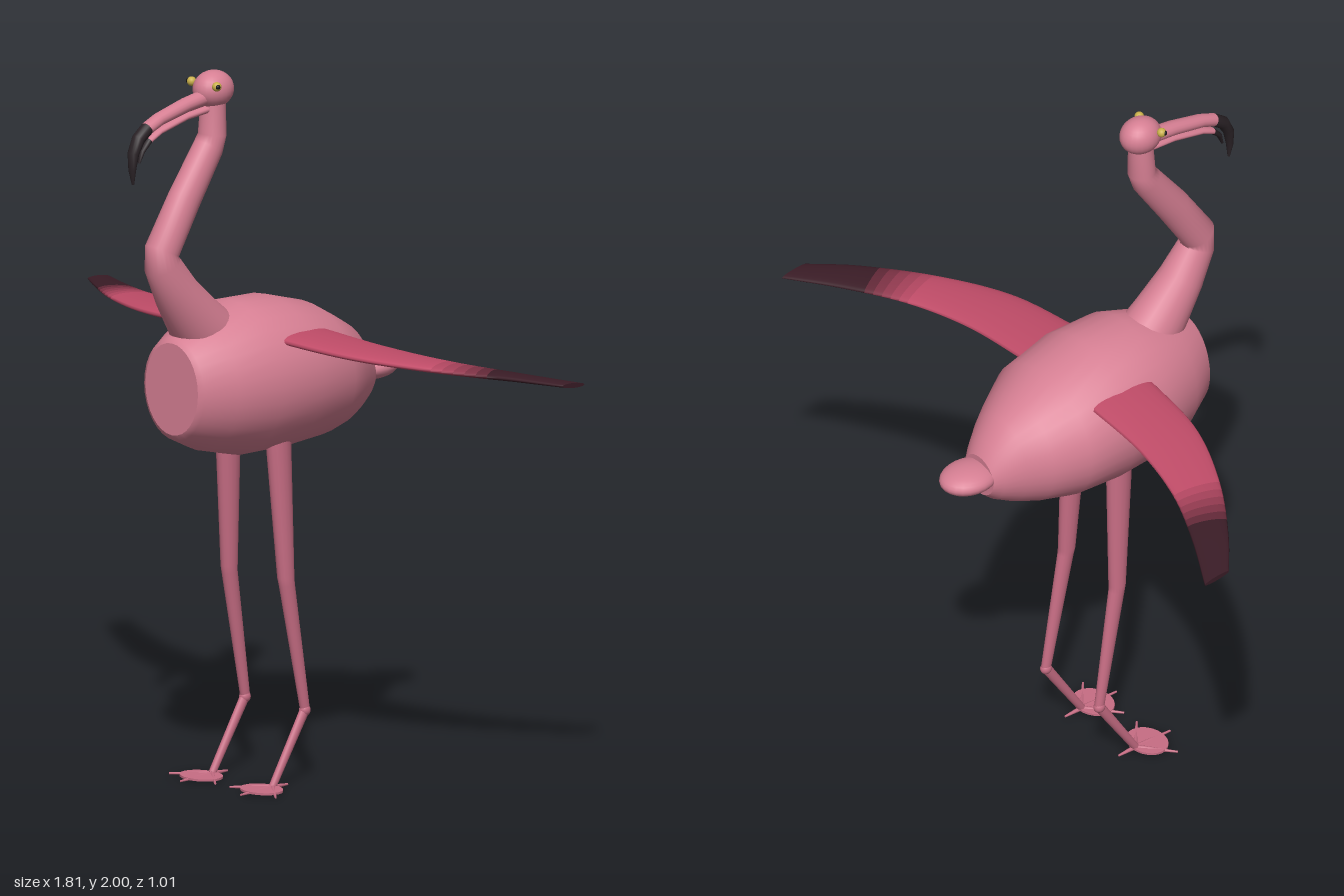
import * as THREE from 'three';

const PINK = 0xd67f93, LEG = 0xc76d84, WING = 0xc04c68, DARK = 0x3a1c26, BLACK = 0x2a2226;
const V = (x, y, z) => new THREE.Vector3(x, y, z);

function mesh(name, geometry, color) {
  const m = new THREE.Mesh(geometry, new THREE.MeshStandardMaterial({ color }));
  m.name = name;
  return m;
}

// Skin a list of equal-length rings, closing both ends with flat caps
function loft(rings) {
  const n = rings[0].length, pos = [], idx = [];
  const push = p => pos.push(p.x, p.y, p.z);
  rings.forEach(r => r.forEach(push));
  for (let i = 0; i < rings.length - 1; i++) {
    for (let j = 0; j < n; j++) {
      const k = (j + 1) % n, a = i * n + j, b = i * n + k;
      idx.push(a, b, a + n, b, b + n, a + n);
    }
  }
  [rings[0], rings.at(-1)].forEach((ring, end) => {
    const base = pos.length / 3;
    ring.forEach(push);
    push(ring.reduce((s, p) => s.add(p), V(0, 0, 0)).divideScalar(n));
    for (let j = 0; j < n; j++) {
      const a = base + j, b = base + (j + 1) % n;
      idx.push(base + n, end ? a : b, end ? b : a);
    }
  });
  const g = new THREE.BufferGeometry();
  g.setAttribute('position', new THREE.Float32BufferAttribute(pos, 3));
  g.setIndex(idx);
  g.computeVertexNormals();
  return g;
}

function ellipse(c, u, v, n) {
  return Array.from({ length: n }, (_, j) => {
    const a = j / n * Math.PI * 2;
    return c.clone().addScaledVector(u, Math.cos(a)).addScaledVector(v, Math.sin(a));
  });
}

// Rings along a path; each point is [x, y, z, half width, half depth]
function pathRings(pts, n = 24, fixedT = null) {
  const c = pts.map(p => V(p[0], p[1], p[2]));
  return pts.map((p, i) => {
    const a = c[Math.max(i - 1, 0)], b = c[Math.min(i + 1, c.length - 1)];
    const t = fixedT ?? b.clone().sub(a).setX(0).normalize();
    return ellipse(c[i], V(p[3], 0, 0), V(0, t.z, -t.y).multiplyScalar(p[4]), n);
  });
}

function ball(name, color, p, rx, ry, rz) {
  const m = mesh(name, new THREE.SphereGeometry(1, 24, 16), color);
  m.position.set(...p);
  m.scale.set(rx, ry, rz);
  return m;
}

function wing(side) {
  const g = new THREE.Group();
  g.name = side > 0 ? 'leftWing' : 'rightWing';
  const lead = new THREE.CatmullRomCurve3([V(0.12, 0, 0.09), V(0.39, 0, 0.055), V(0.61, 0, -0.04), V(0.8, 0, -0.165), V(0.905, 0, -0.25)]);
  const trail = new THREE.CatmullRomCurve3([V(0.12, 0, -0.115), V(0.37, 0, -0.125), V(0.57, 0, -0.17), V(0.75, 0, -0.25), V(0.905, 0, -0.335)]);
  const N = 30, rings = [];
  for (let i = 0; i <= N; i++) {
    const s = i / N, a = lead.getPoint(s), b = trail.getPoint(s);
    const c = a.clone().add(b).multiplyScalar(0.5);
    c.y = 1.255 - 0.06 * s;
    c.x *= side;
    const half = V((a.x - b.x) / 2 * side, 0.004, (a.z - b.z) / 2);
    rings.push(ellipse(c, V(0, 0.02 - 0.013 * s, 0), half.multiplyScalar(side), 20));
  }
  // Feather colour darkens in bands towards the tip
  const cuts = [0, 15, 16, 17, 18, 19, 20, N];
  for (let k = 0; k < cuts.length - 1; k++) {
    const color = new THREE.Color(WING).lerp(new THREE.Color(DARK), k / (cuts.length - 2));
    g.add(mesh('wingBand', loft(rings.slice(cuts[k], cuts[k + 1] + 1)), color));
  }
  return g;
}

function leg(side) {
  const g = new THREE.Group(), x = 0.115 * side;
  g.name = side > 0 ? 'leftLeg' : 'rightLeg';
  g.add(mesh('shank', loft(pathRings([
    [0.095 * side, 1.0, 0.027, 0.031, 0.042], [0.097 * side, 0.93, 0.025, 0.03, 0.038],
    [0.108 * side, 0.58, 0.01, 0.021, 0.026], [0.109 * side, 0.56, 0.007, 0.02, 0.024],
    [0.114 * side, 0.2, -0.058, 0.012, 0.015],
  ], 16)), LEG));
  g.add(mesh('lowerLeg', loft(pathRings([
    [0.114 * side, 0.205, -0.06, 0.012, 0.015], [x, 0.008, 0.068, 0.01, 0.011],
  ], 16)), LEG));
  g.add(ball('ankle', LEG, [0.114 * side, 0.2, -0.057], 0.015, 0.017, 0.017));

  // Webbed foot with three front toes and one hind toe
  const web = mesh('web', new THREE.CylinderGeometry(1, 1, 0.006, 24), LEG);
  web.scale.set(0.065, 1, 0.052);
  web.position.set(x, 0.007, 0.11);
  g.add(web);
  [[-0.088, 0.145], [0, 0.19], [0.088, 0.145], [0, 0.01]].forEach(([dx, z]) => {
    const a = V(x, 0.007, 0.068), d = V(x + dx, 0.005, z).sub(a);
    const toe = mesh('toe', new THREE.CylinderGeometry(0.003, 0.007, d.length(), 8), LEG);
    toe.position.copy(a).addScaledVector(d, 0.5);
    toe.quaternion.setFromUnitVectors(V(0, 1, 0), d.clone().normalize());
    g.add(toe);
  });
  return g;
}

export function createModel() {
  const model = new THREE.Group();

  // Body: [z, centre y, half width, half height], front to back
  const body = [
    [0.34, 1.14, 0.1, 0.128], [0.33, 1.138, 0.115, 0.142], [0.245, 1.135, 0.165, 0.18],
    [0.12, 1.138, 0.208, 0.215], [-0.02, 1.134, 0.222, 0.212], [-0.16, 1.118, 0.208, 0.188],
    [-0.25, 1.1, 0.158, 0.157], [-0.31, 1.092, 0.118, 0.13], [-0.36, 1.078, 0.083, 0.09], [-0.385, 1.07, 0.062, 0.06],
  ].map(([z, y, w, h]) => [0, y, z, w, h]);
  model.add(mesh('body', loft(pathRings(body, 32, V(0, 0, -1))), PINK));
  model.add(ball('tail', PINK, [0, 1.08, -0.42], 0.07, 0.036, 0.088));

  // Curved neck and head
  model.add(mesh('neck', loft(pathRings([
    [0, 1.24, 0.17, 0.085, 0.09], [0, 1.315, 0.25, 0.075, 0.082], [0, 1.405, 0.322, 0.062, 0.064],
    [0, 1.49, 0.375, 0.049, 0.053], [0, 1.53, 0.378, 0.046, 0.051], [0, 1.66, 0.293, 0.043, 0.049],
    [0, 1.79, 0.2, 0.041, 0.043], [0, 1.825, 0.184, 0.04, 0.038], [0, 1.94, 0.18, 0.034, 0.033],
  ])), PINK));
  model.add(ball('head', PINK, [0, 1.95, 0.18], 0.052, 0.052, 0.061));

  // Hooked bill, dark towards the tip
  const upper = pathRings([
    [0, 1.932, 0.21, 0.024, 0.022], [0, 1.922, 0.29, 0.023, 0.02], [0, 1.9, 0.39, 0.021, 0.018],
    [0, 1.882, 0.435, 0.02, 0.018], [0, 1.858, 0.468, 0.019, 0.018], [0, 1.82, 0.488, 0.017, 0.015],
    [0, 1.775, 0.492, 0.012, 0.009], [0, 1.735, 0.489, 0.004, 0.003],
  ], 16);
  const lower = pathRings([
    [0, 1.898, 0.21, 0.018, 0.011], [0, 1.891, 0.29, 0.017, 0.01], [0, 1.867, 0.39, 0.015, 0.009],
    [0, 1.848, 0.43, 0.014, 0.009], [0, 1.822, 0.455, 0.011, 0.007], [0, 1.79, 0.466, 0.004, 0.003],
  ], 16);
  model.add(mesh('upperBill', loft(upper.slice(0, 4)), PINK));
  model.add(mesh('upperBillTip', loft(upper.slice(3)), BLACK));
  model.add(mesh('lowerBill', loft(lower.slice(0, 4)), PINK));
  model.add(mesh('lowerBillTip', loft(lower.slice(3)), BLACK));

  // Paired parts
  for (const side of [1, -1]) {
    model.add(ball('eye', 0xc9b04a, [0.048 * side, 1.969, 0.215], 0.013, 0.013, 0.013));
    model.add(ball('pupil', 0x151515, [0.056 * side, 1.97, 0.219], 0.007, 0.007, 0.007));
    model.add(wing(side), leg(side));
  }
  return model;
}
